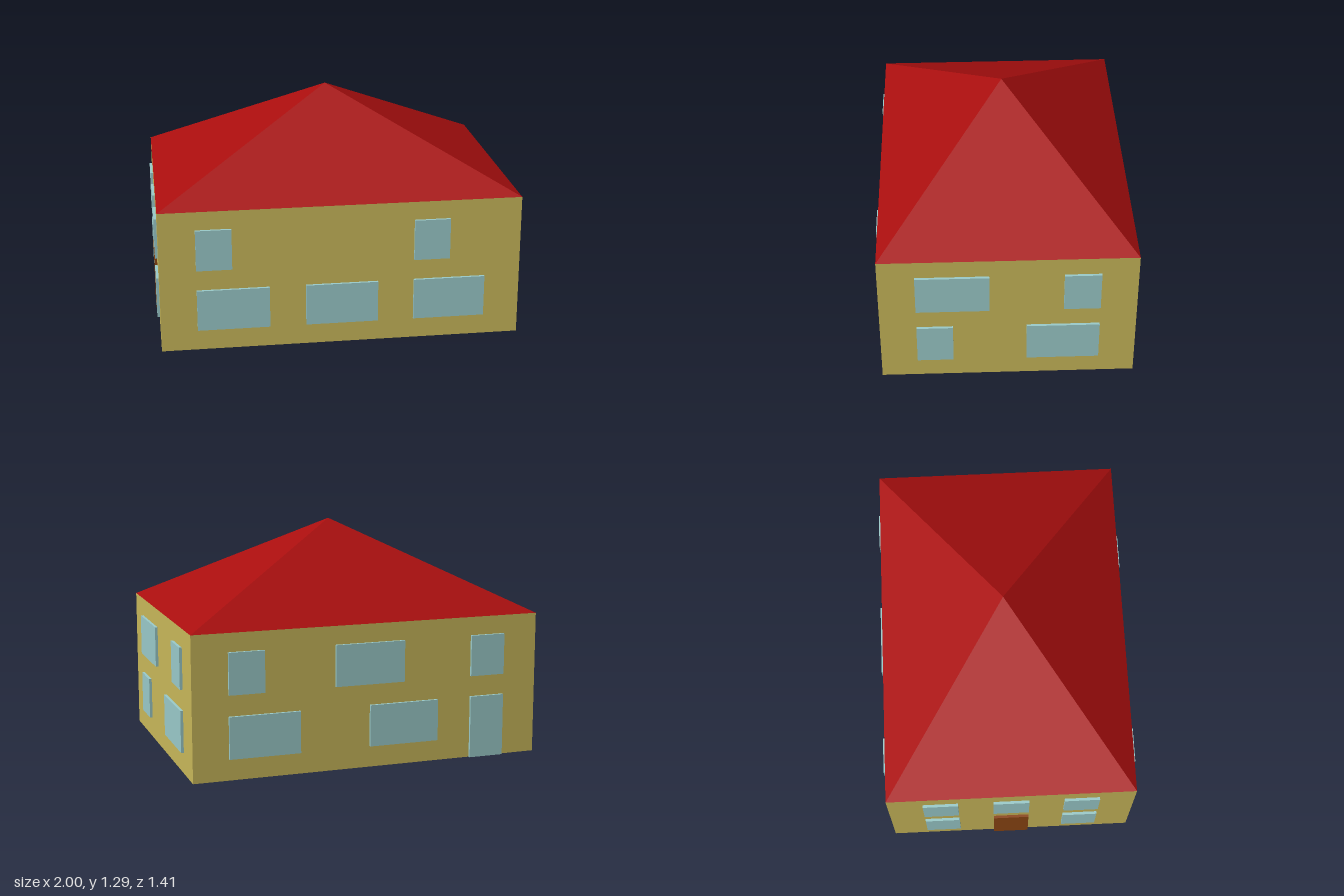
import * as THREE from 'three';

const paint = (name, color) => {
  const m = new THREE.MeshStandardMaterial({ color });
  m.name = name;
  return m;
};

export function createModel() {
  const wallPaint = paint('wall ochre', 0xc9b85a);
  const roofRed = paint('roof red', 0xa90e0e);
  const glass = paint('window blue', 0x9bcbca);
  const wood = paint('door brown', 0x8b4513);

  const W = 0.985, D = 0.69, H = 0.793, APEX = 1.286; // half width, half depth, eaves, roof tip
  const OUT = 0.015, IN = 0.005; // how far plates stand out of and sink into the wall

  const house = new THREE.Group();
  house.name = 'house';
  const add = (name, geometry, material, parent = house) => {
    const mesh = new THREE.Mesh(geometry, material);
    mesh.name = name;
    parent.add(mesh);
    return mesh;
  };

  // Walls
  add('walls', new THREE.BoxGeometry(2 * W, H, 2 * D).translate(0, H / 2, 0), wallPaint);

  // Pyramid roof, flush with the walls
  const roof = new THREE.ConeGeometry(Math.SQRT2, APEX - H, 4)
    .rotateY(Math.PI / 4).scale(W, 1, D).translate(0, (APEX + H) / 2, 0).toNonIndexed();
  roof.computeVertexNormals();
  add('roof', roof, roofRed);

  // Height ranges of the two floors and of the doors
  const lower = [0.117, 0.347], upper = [0.463, 0.691], door = [0, 0.347];

  // Openings per side: [name, from, to, heights, material], measured along x or z
  const sides = {
    front: [
      ['window', -0.788, -0.595, upper], ['window', 0.395, 0.591, upper],
      ['window', -0.788, -0.395, lower], ['window', -0.197, 0.197, lower], ['window', 0.395, 0.788, lower],
    ],
    back: [
      ['window', 0.591, 0.788, upper], ['window', -0.197, 0.197, upper], ['window', -0.788, -0.591, upper],
      ['window', 0.395, 0.788, lower], ['window', -0.395, 0, lower], ['glassDoor', -0.788, -0.591, door],
    ],
    left: [
      ['window', 0.1, 0.493, upper], ['window', -0.493, -0.297, upper],
      ['window', 0.297, 0.493, lower], ['window', -0.493, -0.1, lower],
    ],
    right: [
      ['window', -0.493, -0.297, upper], ['window', -0.1, 0.1, upper], ['window', 0.297, 0.493, upper],
      ['window', -0.493, -0.297, lower], ['door', -0.1, 0.1, door, wood], ['window', 0.297, 0.493, lower],
    ],
  };

  for (const [side, openings] of Object.entries(sides)) {
    const group = new THREE.Group();
    group.name = side + 'Openings';
    house.add(group);
    const alongX = side === 'front' || side === 'back';
    const sign = side === 'front' || side === 'left' ? 1 : -1;
    const depth = sign * ((alongX ? D : W) + (OUT - IN) / 2);
    for (const [name, a, b, [y0, y1], material = glass] of openings) {
      const size = b - a, mid = (a + b) / 2, thick = OUT + IN;
      const plate = new THREE.BoxGeometry(alongX ? size : thick, y1 - y0, alongX ? thick : size);
      add(name, plate, material, group)
        .position.set(alongX ? mid : depth, (y0 + y1) / 2, alongX ? depth : mid);
    }
  }
  return house;
}
